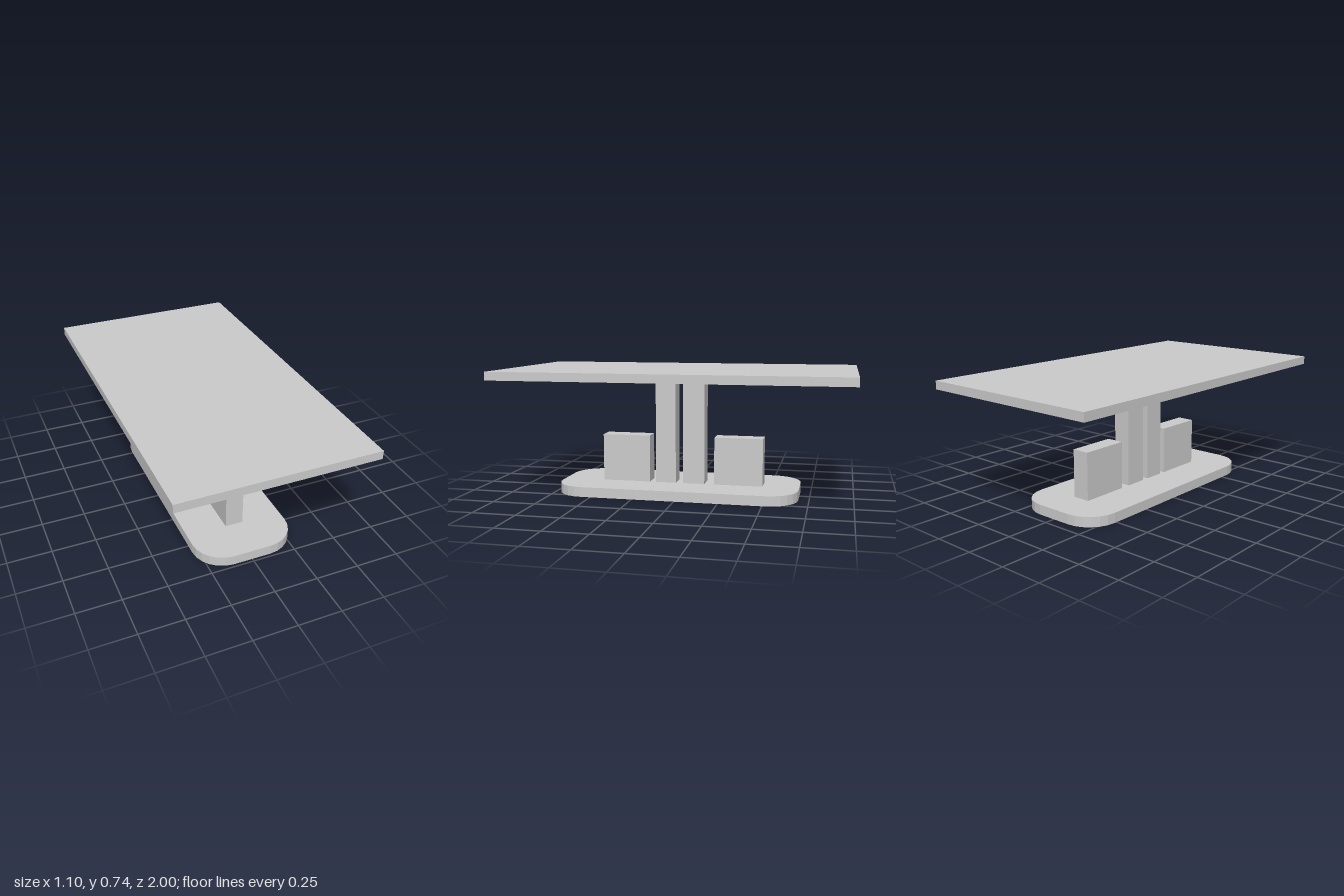
import * as THREE from 'three';

const material = new THREE.MeshStandardMaterial({ color: 0xcccccc, flatShading: true });

// Box given by its width in x and its extents in y and z
function block(name, width, y0, y1, z0, z1) {
  const mesh = new THREE.Mesh(new THREE.BoxGeometry(width, y1 - y0, z1 - z0), material);
  mesh.position.set(0, (y0 + y1) / 2, (z0 + z1) / 2);
  mesh.name = name;
  return mesh;
}

// Flat foot plate with faceted round corners
function footPlate(halfWidth, halfLength, radius, height) {
  const x = halfWidth - radius, y = halfLength - radius;
  const shape = new THREE.Shape();
  [[x, y], [-x, y], [-x, -y], [x, -y]].forEach(([cx, cy], i) =>
    shape.absarc(cx, cy, radius, i * Math.PI / 2, (i + 1) * Math.PI / 2, false));
  const geometry = new THREE.ExtrudeGeometry(shape, { depth: height, bevelEnabled: false, curveSegments: 3 });
  geometry.rotateX(-Math.PI / 2);
  const mesh = new THREE.Mesh(geometry, material);
  mesh.name = 'footPlate';
  return mesh;
}

export function createModel() {
  const table = new THREE.Group();
  table.name = 'table';
  const footTop = 0.058, topBottom = 0.692, postWidth = 0.104;

  const foot = footPlate(0.286, 0.711, 0.176, footTop);
  foot.position.z = 0.021;
  table.add(foot);

  // Two full-height posts between two low blocks
  table.add(
    block('frontPost', postWidth, footTop, topBottom, 0.04, 0.161),
    block('backPost', postWidth, footTop, topBottom, -0.133, -0.004),
    block('frontBlock', postWidth, footTop, 0.338, 0.199, 0.487),
    block('backBlock', postWidth, footTop, 0.338, -0.478, -0.192),
    block('tableTop', 1.104, topBottom, 0.74, -1, 1)
  );
  return table;
}
